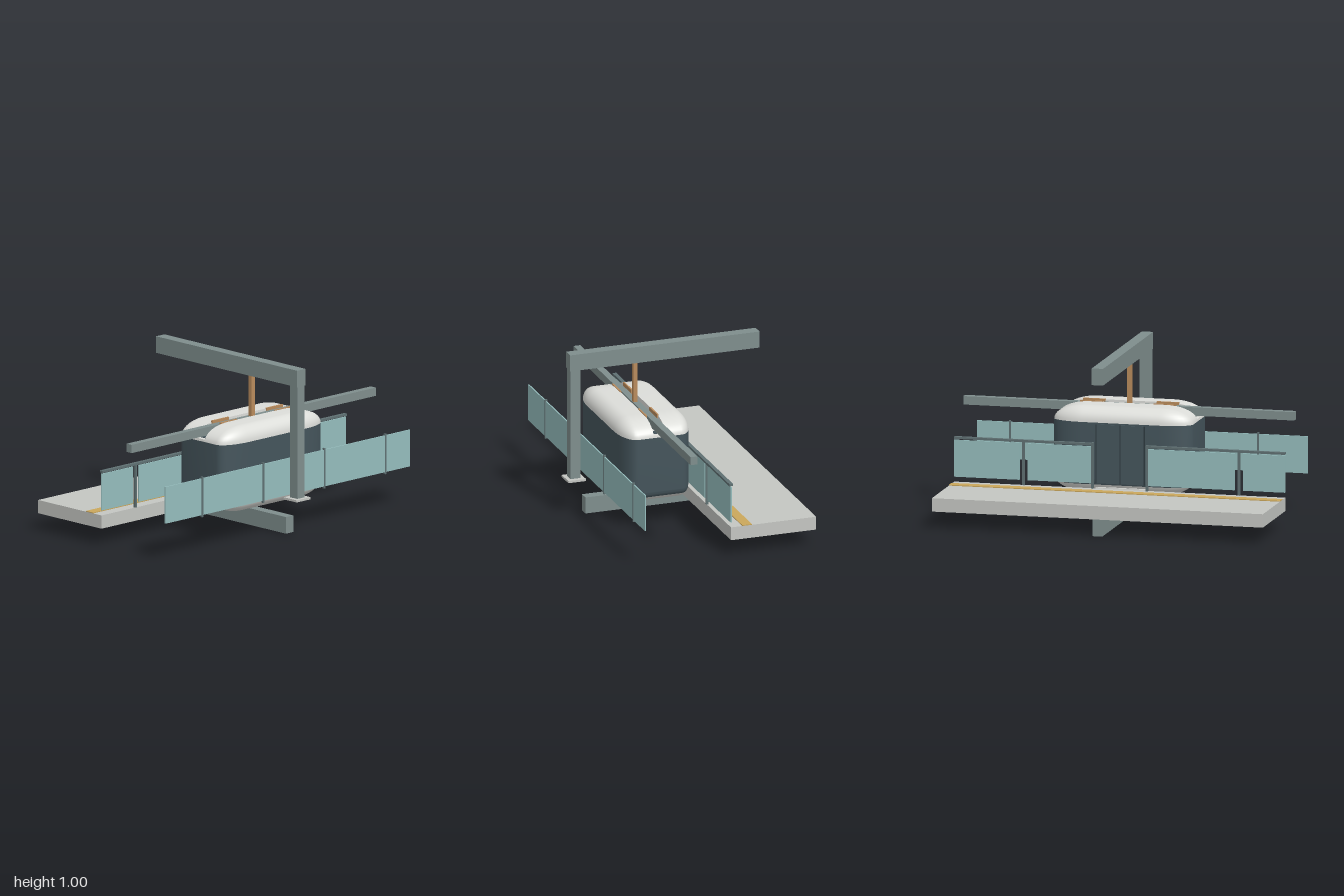
import * as THREE from 'three';
import { toCreasedNormals } from 'three/addons/utils/BufferGeometryUtils.js';

const material = (name, color) => {
  const m = new THREE.MeshStandardMaterial({ color });
  m.name = name;
  return m;
};

// Cabin shape: half sizes, corner radii and centre
const HX = 0.42, HZ = 0.22, RX = 0.19, RY = 0.09, RZ = 0.085, CZ = 0.16;
const LOW = 0.235, HIGH = 0.57; // heights where the bottom and top curves start
const SLOT = { back: 0.125, front: 0.2, floor: 0.585 };

// One level of the cabin: a rounded rectangle that shrinks with the angle phi
function level(core, phi) {
  return { y: core + RY * Math.sin(phi), c: Math.cos(phi) };
}

function levels(core, from, to, steps = 10) {
  return Array.from({ length: steps + 1 }, (_, i) => level(core, from + (to - from) * i / steps));
}

function cabinRing({ y, c }) {
  const points = [];
  for (let q = 0; q < 4; q++) {
    const sx = q === 0 || q === 3 ? 1 : -1;
    const sz = q < 2 ? 1 : -1;
    for (let i = 0; i <= 10; i++) {
      const a = (q + i / 10) * Math.PI / 2;
      points.push([sx * (HX - RX) + RX * c * Math.cos(a), y, CZ + sz * (HZ - RZ) + RZ * c * Math.sin(a)]);
    }
  }
  return points;
}

// Skin over the levels; zMin, zMax and yMax cut the shape flat
function cabinSkin(list, { capTop = false, capBottom = false, zMin = -9, zMax = 9, yMax = 9 } = {}) {
  const rings = list.map(cabinRing);
  const n = rings[0].length;
  const flat = (p) => rings[0].map(() => [0, p[0][1], CZ]);
  if (capTop) rings.push(flat(rings[rings.length - 1]));
  if (capBottom) rings.unshift(flat(rings[0]));
  const position = rings.flat().flatMap(([x, y, z]) =>
    [x, Math.min(y, yMax), Math.min(zMax, Math.max(zMin, z))]);
  const index = [];
  for (let r = 0; r < rings.length - 1; r++) {
    for (let j = 0; j < n; j++) {
      const a = r * n + j, d = r * n + (j + 1) % n, b = a + n, e = d + n;
      index.push(a, b, d, d, b, e);
    }
  }
  const g = new THREE.BufferGeometry();
  g.setAttribute('position', new THREE.Float32BufferAttribute(position, 3));
  g.setIndex(index);
  return toCreasedNormals(g, 0.7);
}

export function createModel() {
  const model = new THREE.Group();
  model.name = 'suspendedCabinStation';
  const steel = material('steel', 0x7f8e8d);
  const concrete = material('concrete', 0xc4c6c2);
  const shell = material('paleShell', 0xdcddd9);
  const darkGlass = material('darkGlass', 0x45555c);
  const seam = material('doorSeam', 0x2d393e);
  const glass = material('paleGlass', 0x95bdbd);
  const copper = material('copper', 0xb98b5c);
  const yellow = material('warningYellow', 0xcaa75c);
  const trim = material('darkSteel', 0x5f7072);

  const add = (name, geometry, mat, parent = model) => {
    const mesh = new THREE.Mesh(geometry, mat);
    mesh.name = name;
    parent.add(mesh);
    return mesh;
  };
  // Box given by its limits on each axis
  const box = (name, mat, [x0, x1], [y0, y1], [z0, z1], parent) => {
    const mesh = add(name, new THREE.BoxGeometry(x1 - x0, y1 - y0, z1 - z0), mat, parent);
    mesh.position.set((x0 + x1) / 2, (y0 + y1) / 2, (z0 + z1) / 2);
    return mesh;
  };
  const group = (name) => {
    const g = new THREE.Group();
    g.name = name;
    model.add(g);
    return g;
  };

  // Supporting frame
  const frame = group('frame');
  box('topBeam', steel, [-0.034, 0.034], [0.9, 1], [-0.6, 0.58], frame);
  box('post', steel, [-0.03, 0.03], [0.225, 0.9], [0.515, 0.577], frame);
  box('footPlate', concrete, [-0.057, 0.057], [0.213, 0.226], [0.49, 0.6], frame);
  box('floorBeam', steel, [-0.03, 0.03], [0, 0.1], [-0.6, 0.483], frame);
  box('trackRail', steel, [-1, 1], [0.6, 0.65], [0.14, 0.182], frame);
  box('trackHanger', copper, [-0.014, 0.014], [0.65, 0.9], [0.153, 0.177], frame);

  // Boarding platform
  const platform = group('platform');
  box('platformSlab', concrete, [-1, 1], [0.1, 0.18], [-0.6, -0.07], platform);
  box('warningStrip', yellow, [-1, 1], [0.18, 0.185], [-0.2, -0.14], platform);

  // Cabin: belly, window band and a roof split by the track slot
  const cabin = group('cabin');
  const cut = -Math.asin((LOW - 0.2) / RY);
  const quarter = Math.PI / 2;
  const roof = levels(HIGH, 0, quarter);
  add('belly', cabinSkin(levels(LOW, -quarter, cut), { capBottom: true }), shell, cabin);
  add('windowBand', cabinSkin([...levels(LOW, cut, 0, 5), level(HIGH, 0)]), darkGlass, cabin);
  add('roofFront', cabinSkin(roof, { capTop: true, zMin: SLOT.front }), shell, cabin);
  add('roofBack', cabinSkin(roof, { capTop: true, zMax: SLOT.back }), shell, cabin);
  add('slotFloor', cabinSkin(roof, { capTop: true, zMin: SLOT.back, zMax: SLOT.front, yMax: SLOT.floor }), shell, cabin);

  // Door leaves, seams and sill facing the platform
  for (const s of [-1, 1]) {
    const leaf = box('doorLeaf', darkGlass, [-0.069, 0.069], [0.21, 0.56], [-0.066, -0.058], cabin);
    leaf.position.x = s * 0.072;
    const edge = box('doorEdge', seam, [-0.004, 0.004], [0.21, 0.56], [-0.065, -0.058], cabin);
    edge.position.x = s * 0.145;
  }
  box('doorMiddle', seam, [-0.003, 0.003], [0.21, 0.56], [-0.065, -0.058], cabin);
  box('doorSill', shell, [-0.15, 0.15], [0.165, 0.185], [-0.057, 0], cabin);

  // Copper clamps around the rail and dark pads at the slot ends
  for (const s of [-1, 1]) {
    const clamp = group('railClamp');
    clamp.position.x = s * 0.222;
    const span = [-0.067, 0.067];
    box('clampFront', copper, span, [0.585, 0.664], [0.193, 0.203], clamp);
    box('clampBack', copper, span, [0.585, 0.664], [0.122, 0.132], clamp);
    box('clampBase', copper, span, [0.585, 0.592], [0.13, 0.195], clamp);
    const pad = box('slotPad', darkGlass, [-0.021, 0.021], [0.585, 0.588], [0.126, 0.199], cabin);
    pad.position.x = s * 0.374;
  }

  // Glass barrier on the outer side
  const outer = group('outerBarrier');
  box('outerGlass', glass, [-1, 1], [0.225, 0.446], [0.459, 0.467], outer);
  for (const x of [-0.7, -0.2, 0.3, 0.8]) {
    box('outerPost', trim, [x - 0.005, x + 0.005], [0.213, 0.456], [0.456, 0.47], outer);
  }

  // Platform barrier with a gate opening in the middle
  const inner = group('platformBarrier');
  for (const [x0, post, x1] of [[-1, -0.72, -0.16], [0.16, 0.58, 1]]) {
    box('handrail', trim, [x0, x1], [0.437, 0.45], [-0.083, -0.06], inner);
    box('platformGlass', glass, [x0, post - 0.025], [0.21, 0.43], [-0.076, -0.068], inner);
    box('platformGlass', glass, [post + 0.025, x1], [0.21, 0.43], [-0.076, -0.068], inner);
    box('platformPost', trim, [post - 0.007, post + 0.007], [0.18, 0.44], [-0.081, -0.065], inner);
  }
  for (const x of [-0.165, 0.165]) {
    box('gatePost', trim, [x - 0.006, x + 0.006], [0.18, 0.453], [-0.085, -0.058], inner);
  }
  return model;
}
